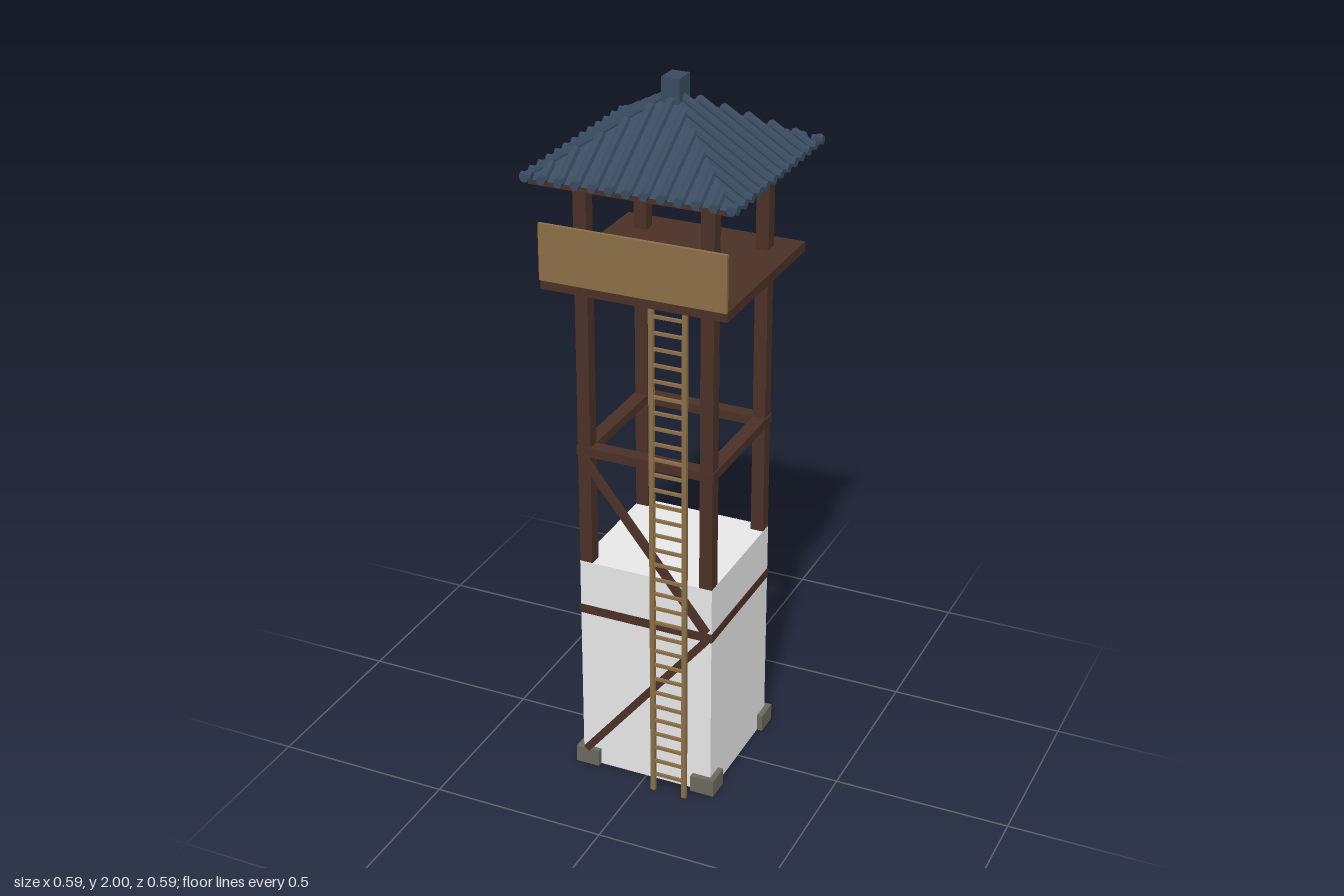
import * as THREE from 'three';

const mat = (name, color) => {
  const m = new THREE.MeshStandardMaterial({ color, flatShading: true });
  m.name = name;
  return m;
};

export function createModel() {
  const tower = new THREE.Group();
  tower.name = 'watchtower';

  const wood = mat('darkWood', 0x4a3026);
  const plank = mat('lightWood', 0x8b6f47);
  const plaster = mat('plaster', 0xe8e8e8);
  const stone = mat('stone', 0x69695e);
  const tile = mat('roofTile', 0x394b5f);
  const bronze = mat('bronze', 0x9a7843);

  const add = (parent, name, geometry, material, x = 0, y = 0, z = 0) => {
    const mesh = new THREE.Mesh(geometry, material);
    mesh.name = name;
    mesh.position.set(x, y, z);
    parent.add(mesh);
    return mesh;
  };
  const box = (parent, name, material, w, h, d, x, y, z) =>
    add(parent, name, new THREE.BoxGeometry(w, h, d), material, x, y, z);
  const group = (name, parent = tower) => {
    const g = new THREE.Group();
    g.name = name;
    parent.add(g);
    return g;
  };
  // Lay a y-aligned mesh along the line from a to b
  const along = (mesh, a, b) => {
    mesh.position.copy(a).add(b).multiplyScalar(0.5);
    mesh.quaternion.setFromUnitVectors(new THREE.Vector3(0, 1, 0), b.clone().sub(a).normalize());
    return mesh;
  };

  // Plastered base room
  box(tower, 'baseRoom', plaster, 0.393, 0.655, 0.393, 0, 0.3275, 0);

  // Corner posts on stone footings
  const P = 0.1775;
  for (const x of [-P, P]) for (const z of [-P, P]) {
    box(tower, 'post', wood, 0.037, 1.74, 0.037, x, 0.9, z);
    box(tower, 'footing', stone, 0.07, 0.05, 0.07, x, 0.025, z);
  }

  // Two rings of tie beams
  for (const y of [0.505, 0.994]) {
    const ring = group('tieBeams');
    for (const s of [-1, 1]) {
      box(ring, 'beamAcross', wood, 0.398, 0.026, 0.04, 0, y, s * 0.179);
      box(ring, 'beamDeep', wood, 0.04, 0.026, 0.398, s * 0.179, y, 0);
    }
  }

  // Diagonal braces on the front
  for (const [y0, y1] of [[0.05, 0.5], [0.985, 0.525]]) {
    const a = new THREE.Vector3(-0.18, y0, 0.206), b = new THREE.Vector3(0.185, y1, 0.206);
    along(box(tower, 'brace', wood, 0.02, a.distanceTo(b), 0.016, 0, 0, 0), a, b);
  }

  // Ladder up to the platform
  const ladder = group('ladder');
  for (const x of [0.045, 0.139]) box(ladder, 'rail', plank, 0.013, 1.475, 0.012, x, 0.7375, 0.246);
  for (let i = 0; i < 32; i++) box(ladder, 'rung', plank, 0.094, 0.008, 0.008, 0.092, 0.053 + i * 0.045, 0.246);

  // Lookout platform and front screen
  box(tower, 'platform', wood, 0.52, 0.027, 0.52, 0, 1.487, 0);
  box(tower, 'frontScreen', plank, 0.52, 0.155, 0.01, 0, 1.5775, 0.262);

  // Bell under the roof
  add(tower, 'bell', new THREE.CylinderGeometry(0.046, 0.04, 0.075, 10), bronze, 0, 1.729, 0);

  // Hipped roof: soffit, pyramid, cap
  const roof = group('roof');
  const E = 0.28, eaveY = 1.775, rise = 0.178;
  box(roof, 'soffit', wood, 0.555, 0.014, 0.555, 0, 1.768, 0);
  const pyramid = new THREE.ConeGeometry(E * Math.SQRT2, rise, 4);
  pyramid.rotateY(Math.PI / 4);
  add(roof, 'roofSlopes', pyramid, tile, 0, eaveY + rise / 2, 0);
  box(roof, 'roofCap', tile, 0.05, 0.07, 0.064, 0, 1.965, 0);

  // Rolled tile rows running from the eave up to the hips
  const step = E / 6, R = 0.0125;
  for (let side = 0; side < 4; side++) {
    const face = group('tileRows', roof);
    face.rotation.y = side * Math.PI / 2;
    for (let i = -6; i <= 6; i++) {
      const x = i * step, top = Math.max(Math.abs(x), 0.012);
      const end = add(face, 'tileEnd', new THREE.CylinderGeometry(R, R, 0.03, 8), tile, x, eaveY + 0.006, 0.279);
      end.rotation.x = Math.PI / 2;
      if (Math.abs(i) === 6) continue;
      const a = new THREE.Vector3(x, eaveY + 0.004, E);
      const b = new THREE.Vector3(x, eaveY + 0.004 + rise * (1 - top / E), top);
      along(add(face, 'tileRow', new THREE.CylinderGeometry(R, R, a.distanceTo(b), 8), tile), a, b);
    }
  }
  return tower;
}
